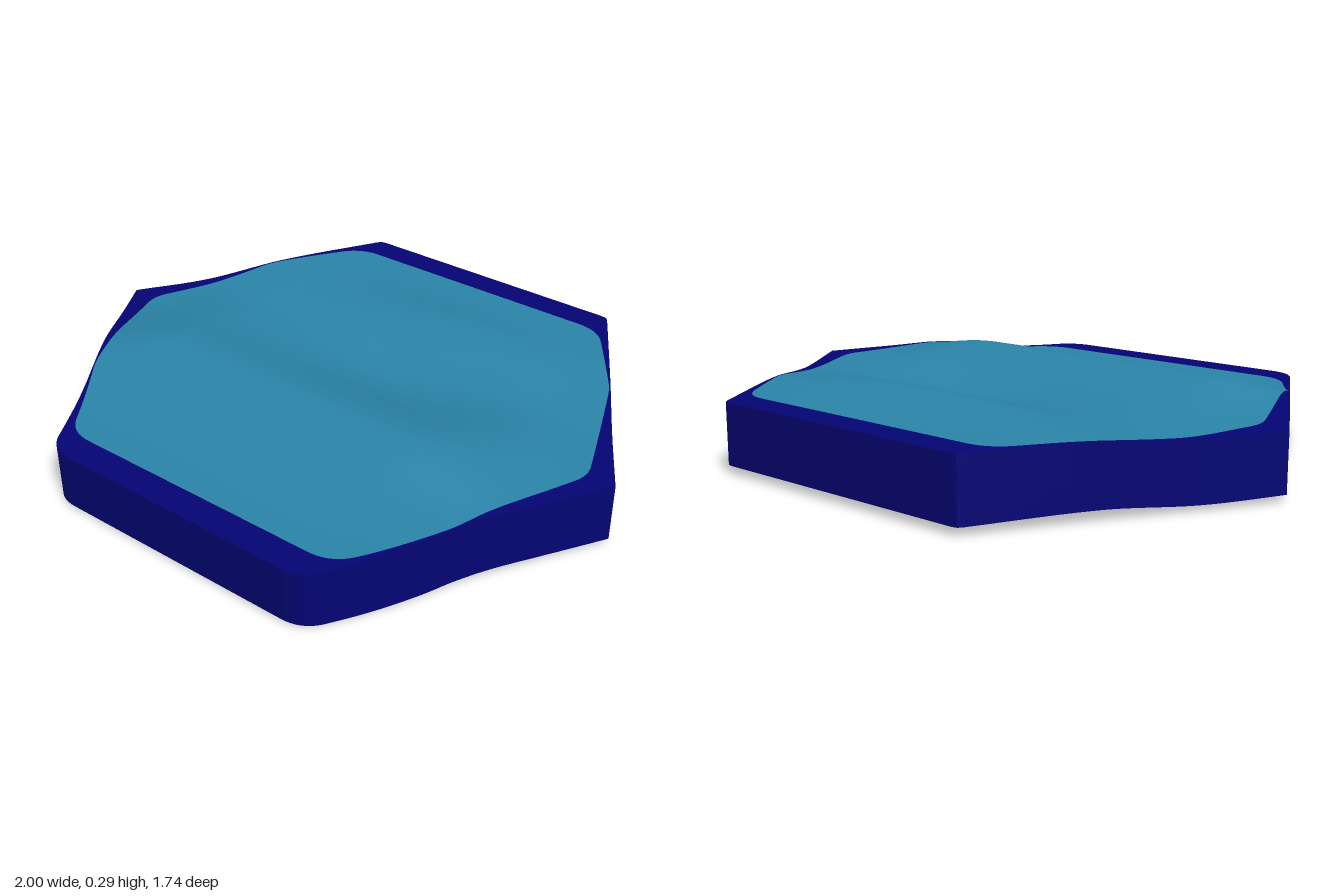
import * as THREE from 'three';
import { toCreasedNormals } from 'three/addons/utils/BufferGeometryUtils.js';

const STEPS = 360;

// Smooth height curve through [z, y] points sorted by z
function heightCurve(pts) {
  const slope = (i) => {
    const a = pts[Math.max(i - 1, 0)], b = pts[Math.min(i + 1, pts.length - 1)];
    return (b[1] - a[1]) / (b[0] - a[0]);
  };
  return (z) => {
    let i = 0;
    while (i < pts.length - 2 && z > pts[i + 1][0]) i++;
    const [z0, y0] = pts[i], [z1, y1] = pts[i + 1], d = z1 - z0;
    const t = THREE.MathUtils.clamp((z - z0) / d, 0, 1), s = 1 - t;
    return y0 * (1 + 2 * t) * s * s + slope(i) * d * t * s * s
      + y1 * t * t * (3 - 2 * t) - slope(i + 1) * d * t * t * s;
  };
}

// Wave profiles: shared front swell, then centre, flanks, side edges and under the side edges
const swell = [[0.25, 0.287], [0.32, 0.279], [0.4, 0.252], [0.48, 0.224], [0.56, 0.205], [0.66, 0.196], [0.87, 0.197]];
const centre = heightCurve([[-0.87, 0.232], [-0.7, 0.236], [-0.6, 0.245], [-0.5, 0.262], [-0.42, 0.265],
  [-0.34, 0.248], [-0.27, 0.215], [-0.2, 0.194], [-0.1, 0.194], [0, 0.216], [0.1, 0.252], [0.18, 0.277], ...swell]);
const flank = heightCurve([[-0.87, 0.232], [-0.5, 0.236], [-0.35, 0.228], [-0.2, 0.226],
  [0, 0.25], [0.1, 0.267], [0.18, 0.281], ...swell]);
const edge = heightCurve([[-0.87, 0.232], [-0.5, 0.228], [-0.25, 0.21], [0, 0.222],
  [0.32, 0.232], [0.45, 0.227], [0.55, 0.217], [0.7, 0.204], [0.87, 0.2]]);
const underEdge = heightCurve([[-0.87, 0.028], [-0.5, 0.034], [-0.25, 0.02], [0, 0.025],
  [0.32, 0.034], [0.45, 0.028], [0.55, 0.014], [0.7, 0.005], [0.87, 0.01]]);

function topHeight(x, z) {
  const toCentre = Math.exp(-(((x - 0.13) / 0.43) ** 2));
  const toEdge = THREE.MathUtils.smoothstep(Math.abs(x), x < 0 ? 0.55 : 0.43, x < 0 ? 0.95 : 0.9);
  const inner = THREE.MathUtils.lerp(flank(z), centre(z), toCentre);
  return THREE.MathUtils.lerp(inner, edge(z), toEdge);
}
// The underside follows the same waves more gently
const bottomHeight = (x, z) => Math.max(0, underEdge(z) + 0.5 * (topHeight(x, z) - edge(z)));

// Closed outline from [x, z, corner radius], sampled as a radius for every angle
function outline(corners) {
  const pts = [], n = corners.length;
  const v = corners.map(([x, z]) => new THREE.Vector2(x, z));
  corners.forEach(([, , r], i) => {
    if (!r) return pts.push(v[i]);
    const toward = (p) => p.clone().sub(v[i]).setLength(r).add(v[i]);
    const bend = new THREE.QuadraticBezierCurve(toward(v[(i + n - 1) % n]), v[i], toward(v[(i + 1) % n]));
    pts.push(...bend.getPoints(10));
  });
  return Array.from({ length: STEPS }, (_, j) => {
    const a = (j / STEPS) * Math.PI * 2, c = Math.cos(a), s = Math.sin(a);
    let best = 0;
    pts.forEach((p, i) => {
      const q = pts[(i + 1) % pts.length], dx = q.x - p.x, dz = q.y - p.y;
      const den = c * dz - s * dx;
      if (Math.abs(den) < 1e-9) return;
      const r = (p.x * dz - p.y * dx) / den, t = (p.x * s - p.y * c) / den;
      if (t > -1e-6 && t < 1 + 1e-6) best = Math.max(best, r);
    });
    return best;
  });
}

// Ring of points on a height function, between two outlines
function ring(inner, outer, t, height) {
  return Array.from({ length: STEPS }, (_, j) => {
    const a = (j / STEPS) * Math.PI * 2;
    const r = THREE.MathUtils.lerp(inner ? inner[j] : 0, outer[j], t);
    const x = r * Math.cos(a), z = r * Math.sin(a);
    return [x, height(x, z), z];
  });
}

// Skin joining successive rings
function loft(rings) {
  const index = [];
  for (let i = 0; i < rings.length - 1; i++) {
    for (let j = 0; j < STEPS; j++) {
      const k = (j + 1) % STEPS, a = i * STEPS, b = a + STEPS;
      index.push(a + j, a + k, b + j, a + k, b + k, b + j);
    }
  }
  const geo = new THREE.BufferGeometry();
  geo.setAttribute('position', new THREE.Float32BufferAttribute(rings.flat(2), 3));
  geo.setIndex(index);
  geo.computeVertexNormals();
  return geo;
}

export function createModel() {
  const group = new THREE.Group();
  group.name = 'waterTile';
  const navy = new THREE.MeshStandardMaterial({ color: 0x040474 });
  navy.name = 'deep navy';
  const teal = new THREE.MeshStandardMaterial({ color: 0x2a84a8 });
  teal.name = 'water teal';

  const hex = outline([[1, 0, 0], [0.502, 0.868, 0.075], [-0.502, 0.868, 0.075],
    [-1, 0, 0], [-0.502, -0.87, 0.015], [0.502, -0.87, 0.015]]);
  const pool = outline([[0.91, 0, 0.05], [0.734, 0.458, 0.04], [0.525, 0.765, 0.08], [-0.525, 0.765, 0.08],
    [-0.734, 0.458, 0.04], [-0.91, 0, 0.05], [-0.734, -0.458, 0.04], [-0.525, -0.767, 0.08],
    [0.525, -0.767, 0.08], [0.734, -0.458, 0.04]]);

  const rings = (n, make) => Array.from({ length: n + 1 }, (_, i) => make(i / n));
  const add = (name, geo, mat) => {
    const mesh = new THREE.Mesh(geo, mat);
    mesh.name = name;
    group.add(mesh);
  };

  // Rippled water and the rim around it
  add('waterSurface', loft(rings(44, (t) => ring(null, pool, t, topHeight))), teal);
  add('rim', loft(rings(3, (t) => ring(pool, hex, t, topHeight))), navy);

  // Side wall and wavy underside
  const wall = loft([ring(null, hex, 1, topHeight), ring(null, hex, 1, bottomHeight)]);
  add('sideWall', toCreasedNormals(wall, 0.6), navy);
  add('underside', loft(rings(36, (t) => ring(null, hex, 1 - t, bottomHeight))), navy);
  return group;
}
